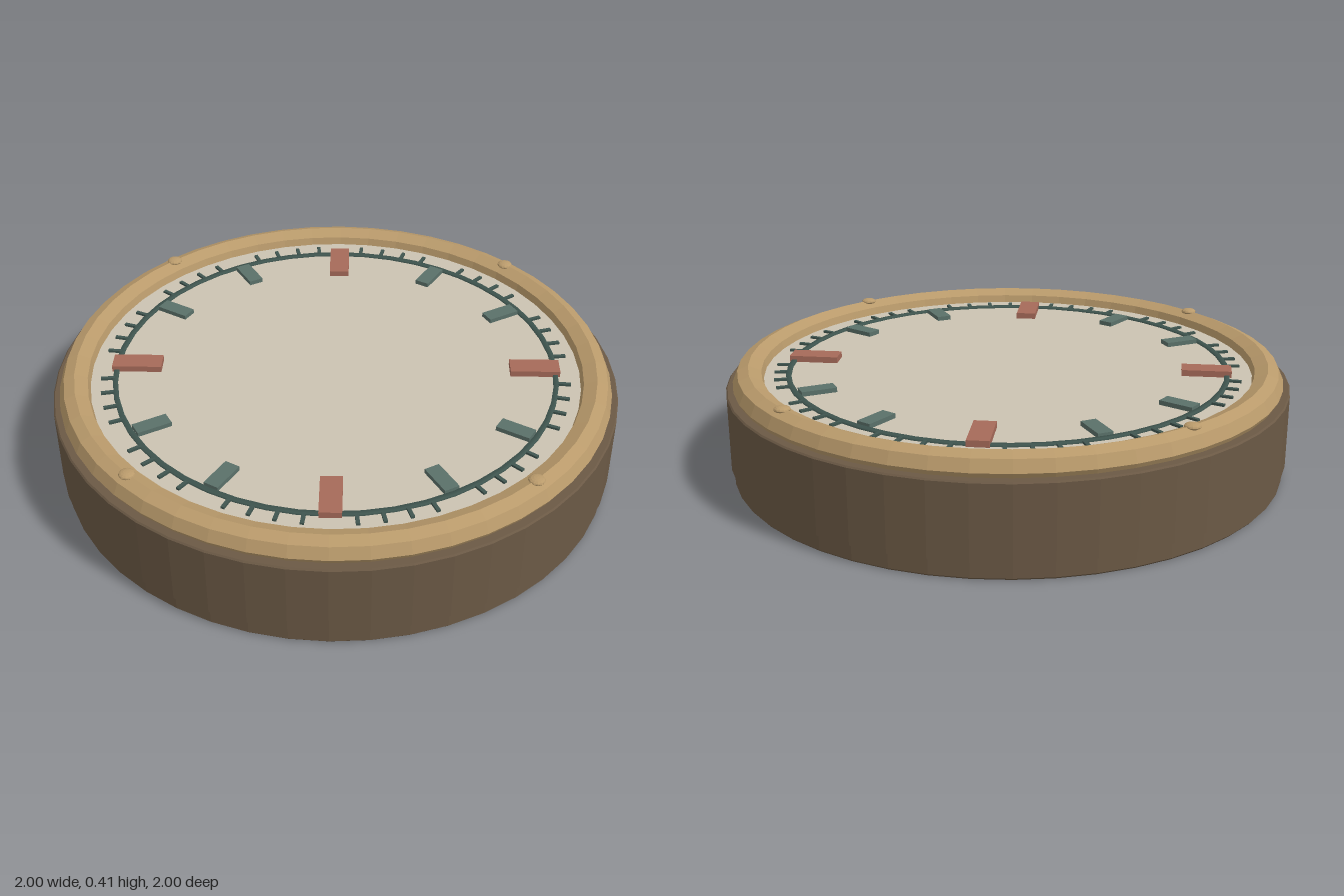
import * as THREE from 'three';

const SEGMENTS = 48;
const DIAL_Y = 0.35;

function material(name, color, flatShading = false) {
  const m = new THREE.MeshStandardMaterial({ color, flatShading });
  m.name = name;
  return m;
}

export function createModel() {
  const model = new THREE.Group();
  model.name = 'roundDial';

  const caseBrown = material('case brown', 0x6b5945, true);
  const brass = material('brass', 0xb99a6b, true);
  const cream = material('dial cream', 0xcbc2b1);
  const darkGreen = material('track green', 0x3f554f);
  const green = material('marker green', 0x5a7069);
  const red = material('marker red', 0xa66a59);

  function add(name, geometry, mat, parent = model) {
    const mesh = new THREE.Mesh(geometry, mat);
    mesh.name = name;
    parent.add(mesh);
    return mesh;
  }

  // Revolved part from [radius, height] pairs
  function lathe(name, points, mat) {
    const profile = points.map(([r, y]) => new THREE.Vector2(r, y));
    return add(name, new THREE.LatheGeometry(profile, SEGMENTS), mat);
  }

  // Box lying on the dial, pointing outwards at the given angle
  function radialBar(name, angle, inner, outer, width, top, mat, parent) {
    const base = DIAL_Y - 0.005;
    const bar = add(name, new THREE.BoxGeometry(width, top - base, outer - inner), mat, parent);
    const r = (inner + outer) / 2;
    bar.position.set(Math.sin(angle) * r, (top + base) / 2, Math.cos(angle) * r);
    bar.rotation.y = angle;
  }

  // Case: foot ring and drum
  lathe('foot', [[0, 0], [0.985, 0], [0.99, 0.006], [0.99, 0.06]], caseBrown);
  lathe('drum', [[0.985, 0.055], [1, 0.06], [1, 0.318], [0.995, 0.323], [0.86, 0.323]], caseBrown);

  // Bevelled bezel
  lathe('bezel', [
    [0.965, 0.32], [0.976, 0.34], [0.958, 0.38], [0.92, 0.396],
    [0.875, 0.377], [0.866, 0.345],
  ], brass);

  // Dial face
  const dial = add('dial', new THREE.CylinderGeometry(0.87, 0.87, 0.02, SEGMENTS), cream);
  dial.position.y = DIAL_Y - 0.01;

  // Raised minute track
  lathe('minuteTrack', [
    [0.79, DIAL_Y - 0.002], [0.79, 0.358], [0.772, 0.358], [0.772, DIAL_Y - 0.002],
  ], darkGreen);

  // Minute ticks and hour markers
  const ticks = new THREE.Group();
  ticks.name = 'minuteTicks';
  const markers = new THREE.Group();
  markers.name = 'hourMarkers';
  model.add(ticks, markers);
  for (let i = 0; i < 60; i++) {
    const angle = (i / 60) * Math.PI * 2;
    if (i % 15 === 0) radialBar('quarterMarker', angle, 0.62, 0.795, 0.074, 0.372, red, markers);
    else if (i % 5 === 0) radialBar('hourMarker', angle, 0.645, 0.768, 0.054, 0.366, green, markers);
    else radialBar('minuteTick', angle, 0.782, 0.832, 0.013, 0.358, darkGreen, ticks);
  }

  // Four domed studs on the bezel
  for (const x of [-0.65, 0.65]) {
    for (const z of [-0.65, 0.65]) {
      const stud = add('stud', new THREE.SphereGeometry(0.028, 12, 8), brass);
      stud.scale.y = 0.4;
      stud.position.set(x, 0.394, z);
    }
  }

  return model;
}
